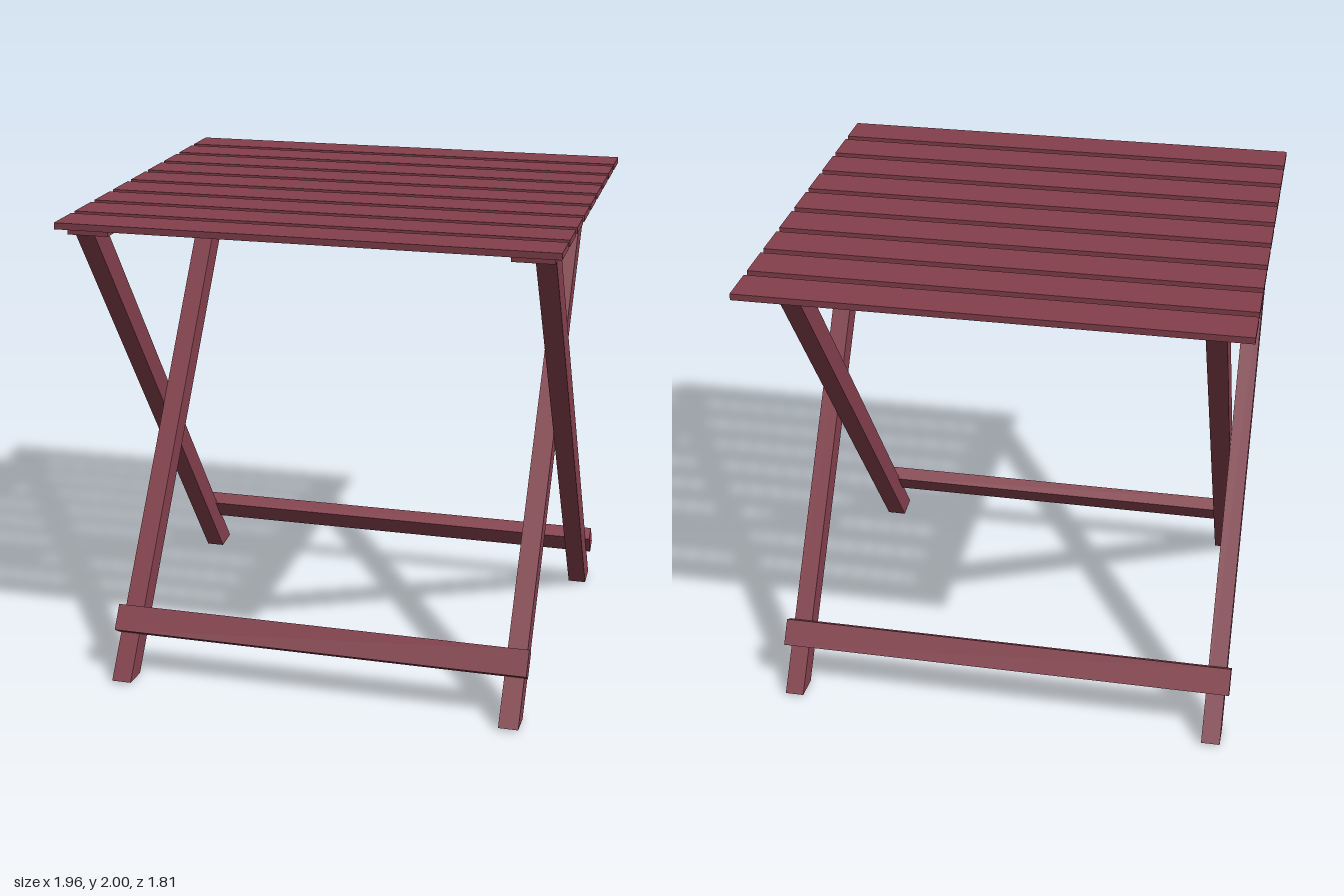
import * as THREE from 'three';

export function createModel() {
  const table = new THREE.Group();
  table.name = 'foldingSlatTable';
  const wood = new THREE.MeshStandardMaterial({ color: 0x84404c, flatShading: true });

  // Plank with a side profile of [z, y] corners, spanning x0..x1
  function plank(name, corners, x0, x1) {
    const shape = new THREE.Shape(corners.map(([z, y]) => new THREE.Vector2(z, y)));
    const geo = new THREE.ExtrudeGeometry(shape, { depth: x1 - x0, bevelEnabled: false });
    geo.rotateY(-Math.PI / 2);
    geo.translate(x1, 0, 0);
    const mesh = new THREE.Mesh(geo, wood);
    mesh.name = name;
    table.add(mesh);
  }

  // The two leg frames mirror each other about the pivot
  const pivotZ = 0.028;
  const flip = (corners) => corners.map(([z, y]) => [2 * pivotZ - z, y]);

  // Table top slats
  const slats = 9, slatWidth = 0.168, halfDepth = 0.905;
  const pitch = (2 * halfDepth - slatWidth) / (slats - 1);
  for (let i = 0; i < slats; i++) {
    const slat = new THREE.Mesh(new THREE.BoxGeometry(1.96, 0.026, slatWidth), wood);
    slat.name = 'topSlat' + (i + 1);
    slat.position.set(0, 1.987, -halfDepth + slatWidth / 2 + i * pitch);
    table.add(slat);
  }

  // Slightly tilted rails under the slats, and the crossing legs
  const rail = [[0.848, 1.942], [0.848, 1.975], [-0.807, 1.968], [-0.807, 1.933]];
  const leg = [[0.72, 0], [0.832, 0.01], [-0.608, 1.94], [-0.735, 1.94]];
  for (const [side, label] of [[1, 'left'], [-1, 'right']]) {
    const add = (name, corners, inner, outer) =>
      plank(label + name, corners, Math.min(side * inner, side * outer), Math.max(side * inner, side * outer));
    add('Rail', rail, 0.785, 0.95);
    add('InnerLeg', leg, 0.785, 0.867);
    add('OuterLeg', flip(leg), 0.867, 0.945);
  }

  // Stretchers fixed to the upper faces of the lower legs
  const stretcher = [[0.695, 0.172], [0.747, 0.206], [0.683, 0.297], [0.63, 0.263]];
  plank('frontStretcher', stretcher, -0.88, 0.88);
  plank('backStretcher', flip(stretcher), -0.965, 0.965);

  return table;
}
